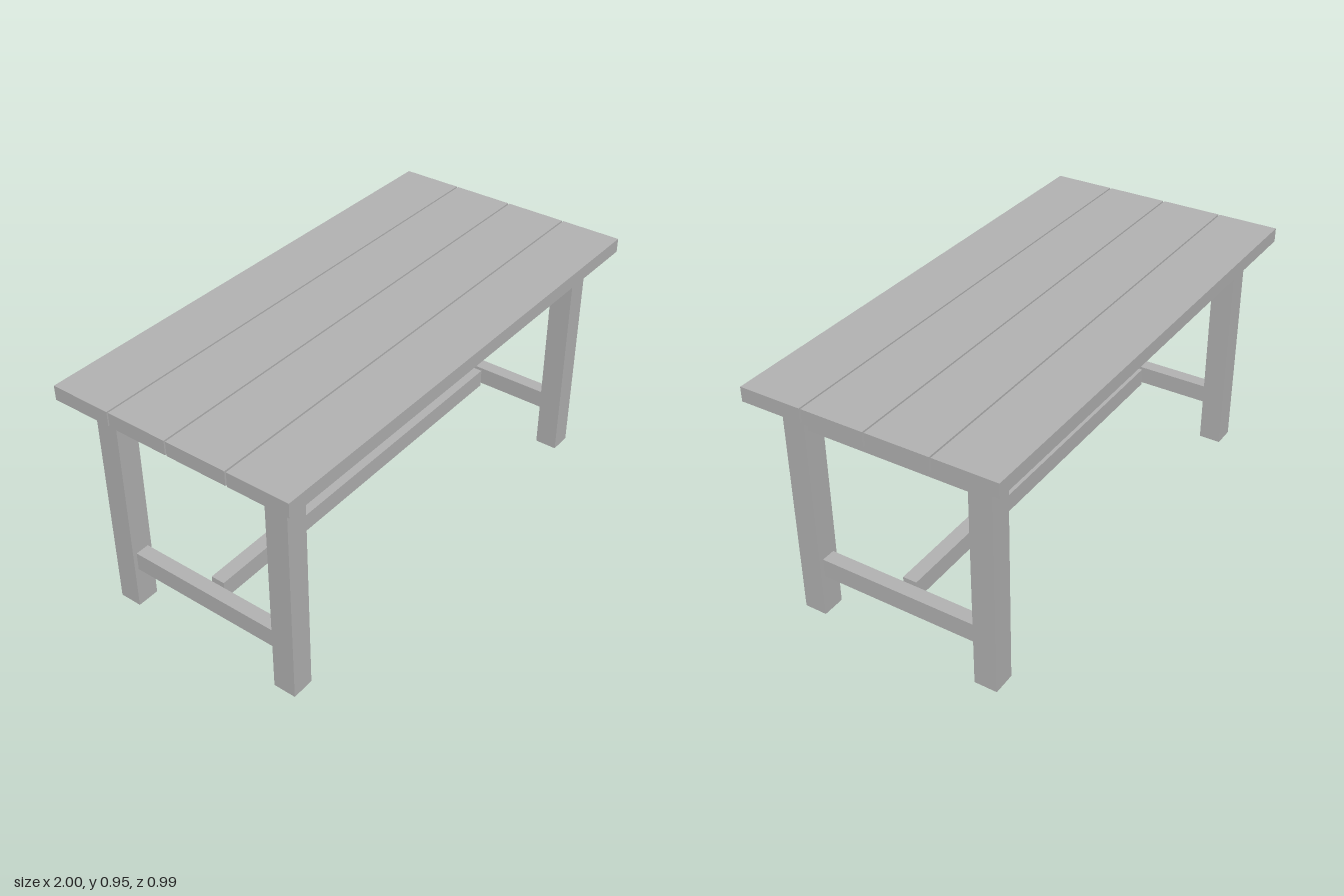
import * as THREE from 'three';

export function createModel() {
  const table = new THREE.Group();
  table.name = 'table';
  const wood = new THREE.MeshStandardMaterial({ color: 0xb4b4b4 });
  wood.name = 'grey wood';

  const board = (name, w, h, d, x, y, z) => {
    const mesh = new THREE.Mesh(new THREE.BoxGeometry(w, h, d), wood);
    mesh.name = name;
    mesh.position.set(x, y, z);
    table.add(mesh);
  };

  const topY = 0.953, legH = 0.897; // table height, underside of the top
  const leg = 0.09, legX = 0.868, legZ = 0.367; // leg thickness and centres
  const rail = 0.056; // rail thickness
  const spanX = 2 * legX - leg, spanZ = 2 * legZ - leg; // between the legs
  const apronH = 0.112, apronY = legH - apronH / 2;
  const stretcherH = 0.075, stretcherY = 0.2025;

  // Four planks with narrow gaps
  for (let i = 0; i < 4; i++) {
    board('topPlank', 2, topY - legH, 0.2435, 0, (topY + legH) / 2, (i - 1.5) * 0.25);
  }

  for (const s of [-1, 1]) {
    // Legs
    for (const t of [-1, 1]) board('leg', leg, legH, leg, s * legX, legH / 2, t * legZ);
    // Aprons under the top
    board('longApron', spanX, apronH, rail, 0, apronY, s * legZ);
    board('endApron', rail, apronH, spanZ, s * legX, apronY, 0);
    // Low rails joining each pair of end legs
    board('endStretcher', rail, stretcherH, spanZ, s * legX, stretcherY, 0);
  }

  // Long middle rail, stopping just short of the end rails
  board('middleStretcher', spanX, stretcherH, rail, 0, stretcherY, 0);

  return table;
}
